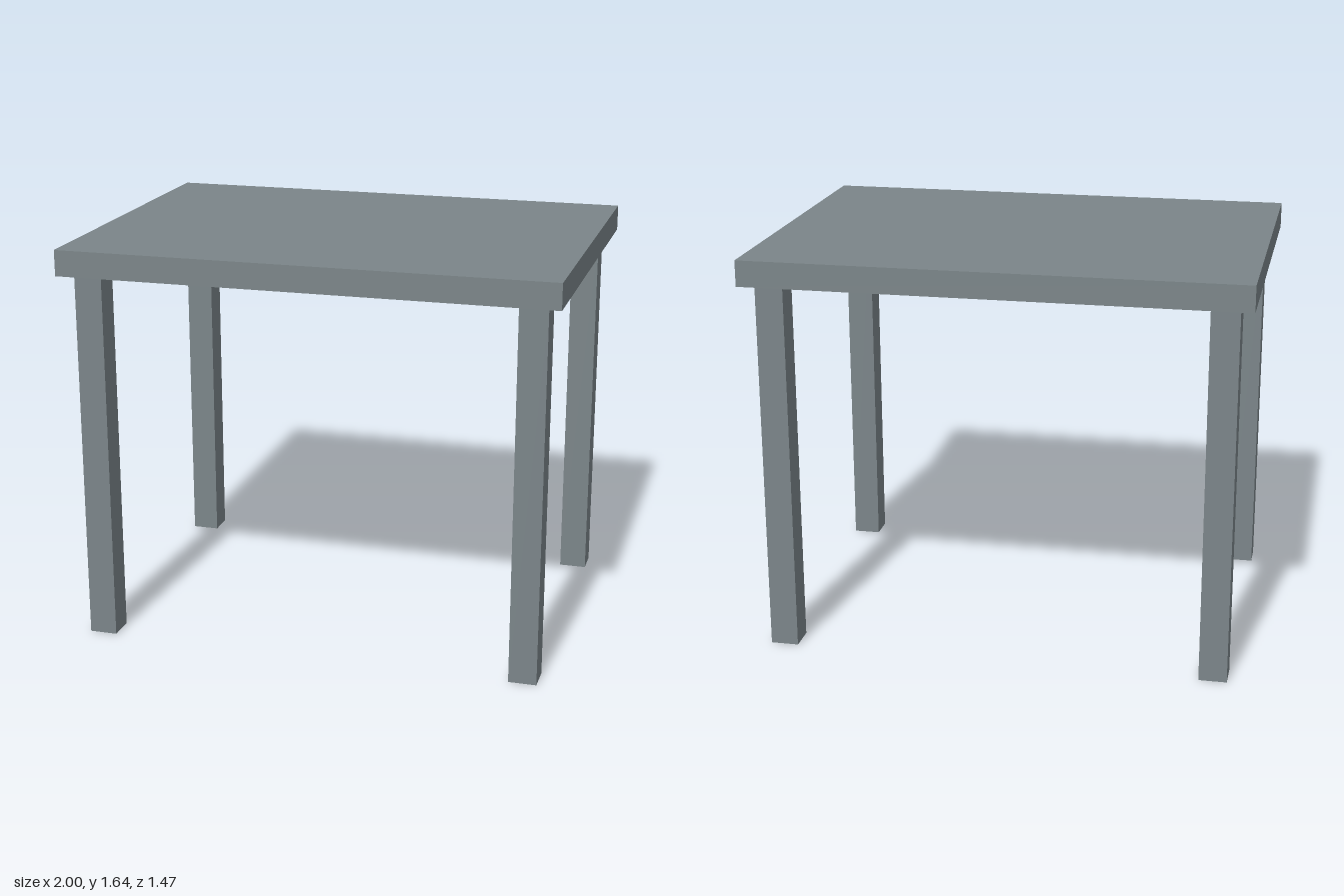
import * as THREE from 'three';

export function createModel() {
  const model = new THREE.Group();
  model.name = 'table';

  const grey = new THREE.MeshStandardMaterial({ color: 0x7b8589 });
  grey.name = 'slate grey';

  const addBox = (name, size, position) => {
    const mesh = new THREE.Mesh(new THREE.BoxGeometry(...size), grey);
    mesh.name = name;
    mesh.position.set(...position);
    model.add(mesh);
  };

  const legHeight = 1.535, legWidth = 0.113, topThickness = 0.105;

  // Table top
  addBox('tableTop', [2, topThickness, 1.47], [0, legHeight + topThickness / 2, 0]);

  // Four square legs, inset from the edges
  for (const [side, x] of [['Left', 1], ['Right', -1]]) {
    for (const [end, z] of [['front', 1], ['back', -1]]) {
      addBox(`${end}${side}Leg`, [legWidth, legHeight, legWidth],
        [x * 0.888, legHeight / 2, z * 0.623]);
    }
  }

  return model;
}
